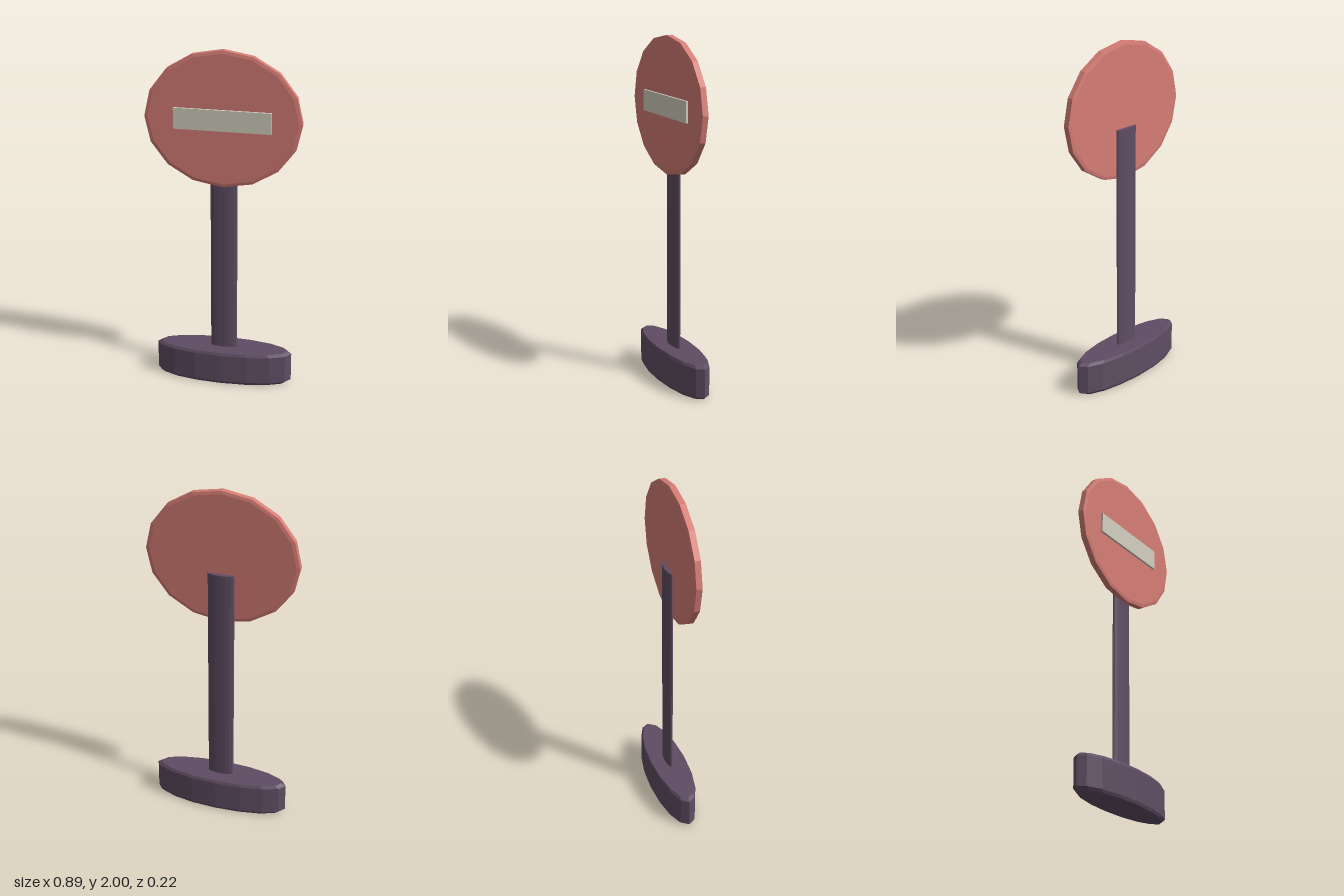
import * as THREE from 'three';

const red = new THREE.MeshStandardMaterial({ color: 0xd67d75 });
red.name = 'signRed';
const cream = new THREE.MeshStandardMaterial({ color: 0xd3cfc0 });
cream.name = 'barCream';
const purple = new THREE.MeshStandardMaterial({ color: 0x5f4d63 });
purple.name = 'standPurple';

// Faceted 16-sided oval slab along y from 0 to height, with chamfered rims
function ovalSlab(rx, rz, height, inset, drop) {
  const profile = [
    [0, 0], [1 - inset, 0], [1, drop], [1, height - drop], [1 - inset, height], [0, height],
  ].map(([r, y]) => new THREE.Vector2(r, y));
  const geometry = new THREE.LatheGeometry(profile, 16).toNonIndexed();
  geometry.scale(rx, 1, rz);
  geometry.computeVertexNormals();
  return geometry;
}

function addPart(group, name, geometry, material, x, y, z) {
  const mesh = new THREE.Mesh(geometry, material);
  mesh.name = name;
  mesh.position.set(x, y, z);
  group.add(mesh);
}

export function createModel() {
  const group = new THREE.Group();
  group.name = 'roadSign';

  // Heavy oval foot
  addPart(group, 'base', ovalSlab(0.405, 0.11, 0.2, 0.06, 0.016), purple, 0, 0, 0);

  // Flattened post, ending behind the disc
  const post = new THREE.CylinderGeometry(1, 1, 1.365, 16).toNonIndexed();
  post.scale(0.078, 1, 0.02);
  post.computeVertexNormals();
  addPart(group, 'post', post, purple, 0, 0.8325, 0);

  // Disc facing forward
  const disc = ovalSlab(0.443, 0.39, 0.042, 0.045, 0.004);
  disc.rotateX(Math.PI / 2);
  addPart(group, 'signDisc', disc, red, 0, 1.61, 0.005);

  // Raised bar on the face
  addPart(group, 'signBar', new THREE.BoxGeometry(0.55, 0.12, 0.014), cream, 0, 1.61, 0.053);

  return group;
}
